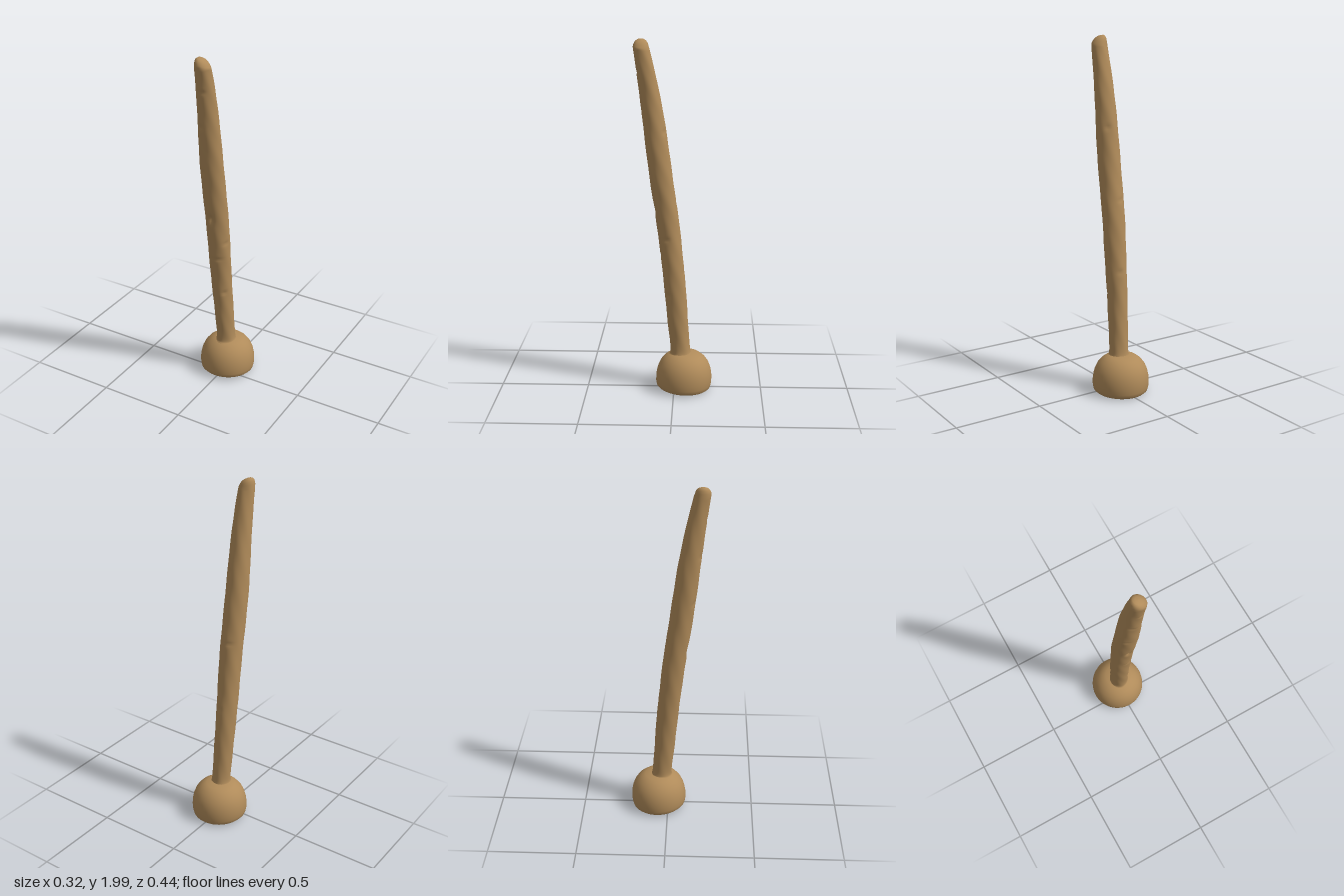
import * as THREE from 'three';

const wood = new THREE.MeshStandardMaterial({ color: 0xb08b5a });
wood.name = 'brown wood';

// Shaft sections: y, centre x, centre z, half width x, half depth z
const sections = [
  [0.17, 0, -0.04, 0.085, 0.085],
  [0.205, 0, -0.038, 0.066, 0.068],
  [0.24, 0, -0.036, 0.053, 0.056],
  [0.4, -0.004, -0.022, 0.054, 0.058],
  [0.6, -0.009, -0.005, 0.057, 0.061],
  [0.8, -0.011, 0.015, 0.061, 0.062],
  [1.0, -0.013, 0.037, 0.063, 0.064],
  [1.2, -0.014, 0.066, 0.064, 0.064],
  [1.4, -0.015, 0.093, 0.063, 0.063],
  [1.6, -0.015, 0.118, 0.057, 0.059],
  [1.8, -0.014, 0.149, 0.05, 0.051],
  [1.94, -0.014, 0.176, 0.044, 0.044],
];

// Small carved nicks: y, angle, half height, half angle, depth
const nicks = [
  [1.06, 1.6, 0.04, 0.3, 0.016], [0.8, 1.3, 0.012, 0.7, 0.004],
  [0.9, 0.3, 0.015, 0.5, 0.004], [0.57, 0.8, 0.015, 0.4, 0.005],
  [1.35, 2.1, 0.02, 0.4, 0.004], [1.62, 1.9, 0.02, 0.5, 0.004],
  [1.82, 1.4, 0.015, 0.5, 0.004], [1.1, 4.4, 0.015, 0.5, 0.004],
  [0.7, 4.9, 0.02, 0.4, 0.004], [1.5, 5.2, 0.02, 0.4, 0.004],
];

function carve(y, a) {
  let d = 0.0008 * Math.sin(3 * a + 9 * y) + 0.0006 * Math.sin(5 * a - 31 * y);
  for (const [ny, na, h, w, depth] of nicks) {
    const u = (y - ny) / h, v = (a - na) / w;
    d -= depth * Math.exp(-2 * (u * u + v * v));
  }
  return d;
}

function shaftGeometry() {
  const centres = new THREE.CatmullRomCurve3(
    sections.map(([y, x, z]) => new THREE.Vector3(x, y, z)), false, 'catmullrom');
  const radii = new THREE.CatmullRomCurve3(
    sections.map(([, , , rx, rz]) => new THREE.Vector3(rx, 0, rz)), false, 'catmullrom');
  const sides = 48, steps = 198;
  const rings = [];
  for (let i = 0; i <= steps; i++) {
    rings.push({ c: centres.getPoint(i / steps), r: radii.getPoint(i / steps), tilt: 0 });
  }
  // Rounded, slanting tip
  const tip = rings[steps];
  for (const [s, y, tilt] of [[0.97, 1.955, 0.2], [0.9, 1.966, 0.35], [0.78, 1.976, 0.42],
    [0.6, 1.984, 0.42], [0.35, 1.988, 0.42], [0.001, 1.99, 0.42]]) {
    rings.push({
      c: new THREE.Vector3(tip.c.x, y, tip.c.z + 0.003),
      r: tip.r.clone().multiplyScalar(s), tilt,
    });
  }
  const positions = [], index = [];
  rings.forEach(({ c, r, tilt }, i) => {
    for (let j = 0; j < sides; j++) {
      const a = (j / sides) * Math.PI * 2;
      const d = i <= steps ? carve(c.y, a) : 0;
      const dx = Math.cos(a) * (r.x + d), dz = Math.sin(a) * (r.z + d);
      positions.push(c.x + dx, c.y - tilt * dx, c.z + dz);
      if (i === rings.length - 1) continue;
      const p = i * sides + j, q = i * sides + (j + 1) % sides;
      index.push(p, p + sides, q, q, p + sides, q + sides);
    }
  });
  const g = new THREE.BufferGeometry();
  g.setAttribute('position', new THREE.Float32BufferAttribute(positions, 3));
  g.setIndex(index);
  g.computeVertexNormals();
  return g;
}

function baseGeometry() {
  // Flat underside with a softened rim, then a low dome
  const profile = [[0, 0], [0.08, 0], [0.135, 0.001], [0.147, 0.003], [0.155, 0.011],
    [0.159, 0.03], [0.16, 0.06], [0.157, 0.09], [0.15, 0.12], [0.137, 0.15],
    [0.117, 0.176], [0.094, 0.194], [0.07, 0.205], [0.035, 0.211], [0, 0.212]];
  return new THREE.LatheGeometry(profile.map(([x, y]) => new THREE.Vector2(x, y)), 64);
}

export function createModel() {
  const model = new THREE.Group();
  model.name = 'woodenPestle';

  const shaft = new THREE.Mesh(shaftGeometry(), wood);
  shaft.name = 'shaft';

  const base = new THREE.Mesh(baseGeometry(), wood);
  base.name = 'domedBase';
  base.position.set(0, 0.01, -0.053);
  base.rotation.x = -0.055;

  model.add(shaft, base);
  return model;
}
